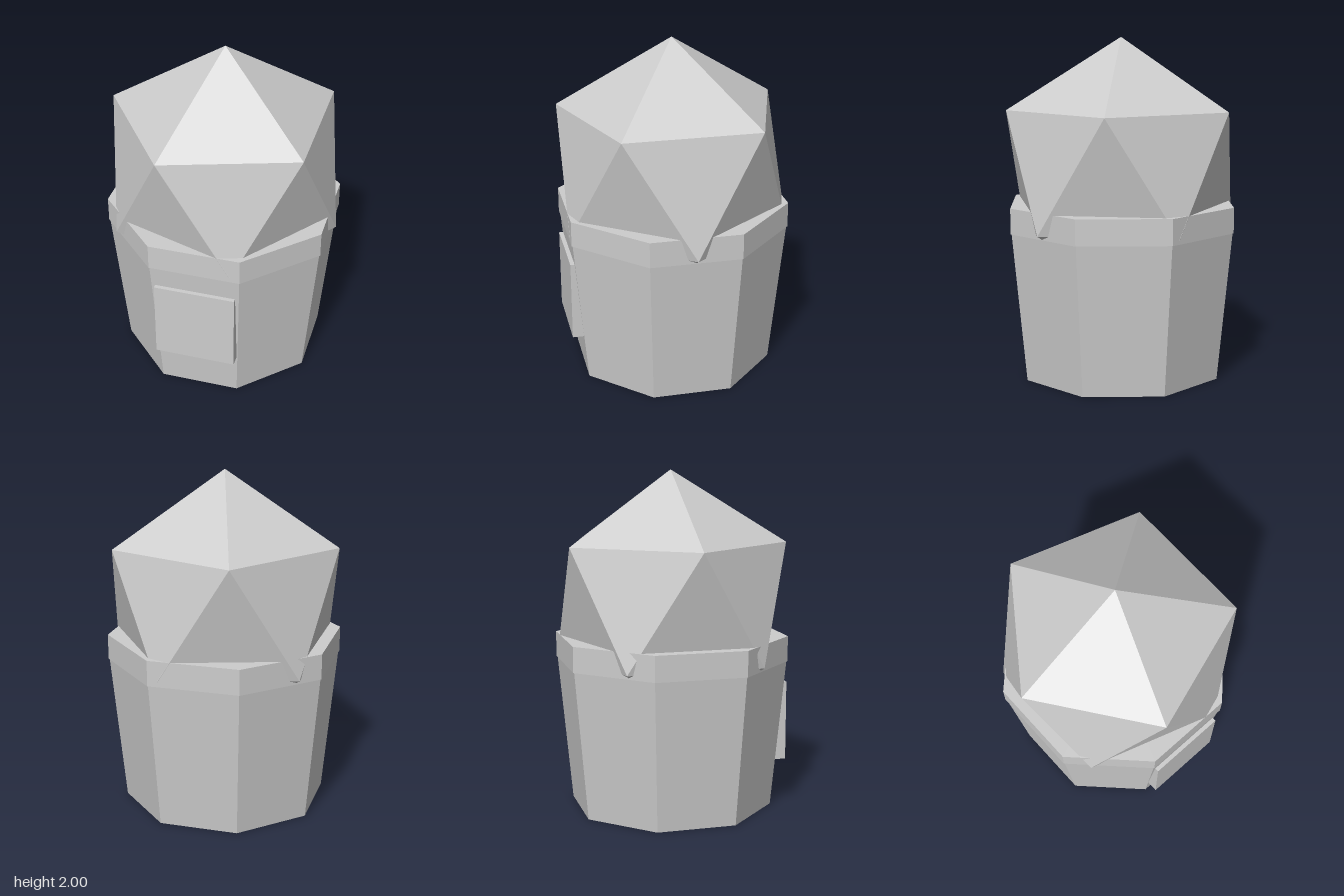
import * as THREE from 'three';

export function createModel() {
  const group = new THREE.Group();
  group.name = 'pottedPlant';
  const grey = new THREE.MeshStandardMaterial({ color: 0xcccccc, flatShading: true });
  grey.name = 'light grey';

  const add = (name, geometry, x, y, z) => {
    const mesh = new THREE.Mesh(geometry, grey);
    mesh.name = name;
    mesh.position.set(x, y, z);
    group.add(mesh);
  };

  // eight-sided prism with flat sides facing the axes; sizes are centre to flat
  const octagon = (top, bottom, height) => {
    const k = 1 / Math.cos(Math.PI / 8);
    return new THREE.CylinderGeometry(top * k, bottom * k, height, 8).rotateY(Math.PI / 8);
  };

  // tapered pot and its rim
  add('pot', octagon(0.637, 0.558, 0.88), -0.002, 0.44, 0);
  add('rim', octagon(0.643, 0.643, 0.15), -0.002, 0.955, 0);

  // label plate on the front of the pot
  add('labelPlate', new THREE.BoxGeometry(0.474, 0.473, 0.08), -0.002, 0.5125, 0.61);

  // foliage: icosahedron turned to stand on a corner, sunk into the pot
  const golden = (1 + Math.sqrt(5)) / 2;
  const crown = new THREE.IcosahedronGeometry(0.757, 0).rotateZ(Math.atan(1 / golden));
  add('foliage', crown, 0, 1.243, 0);

  return group;
}
